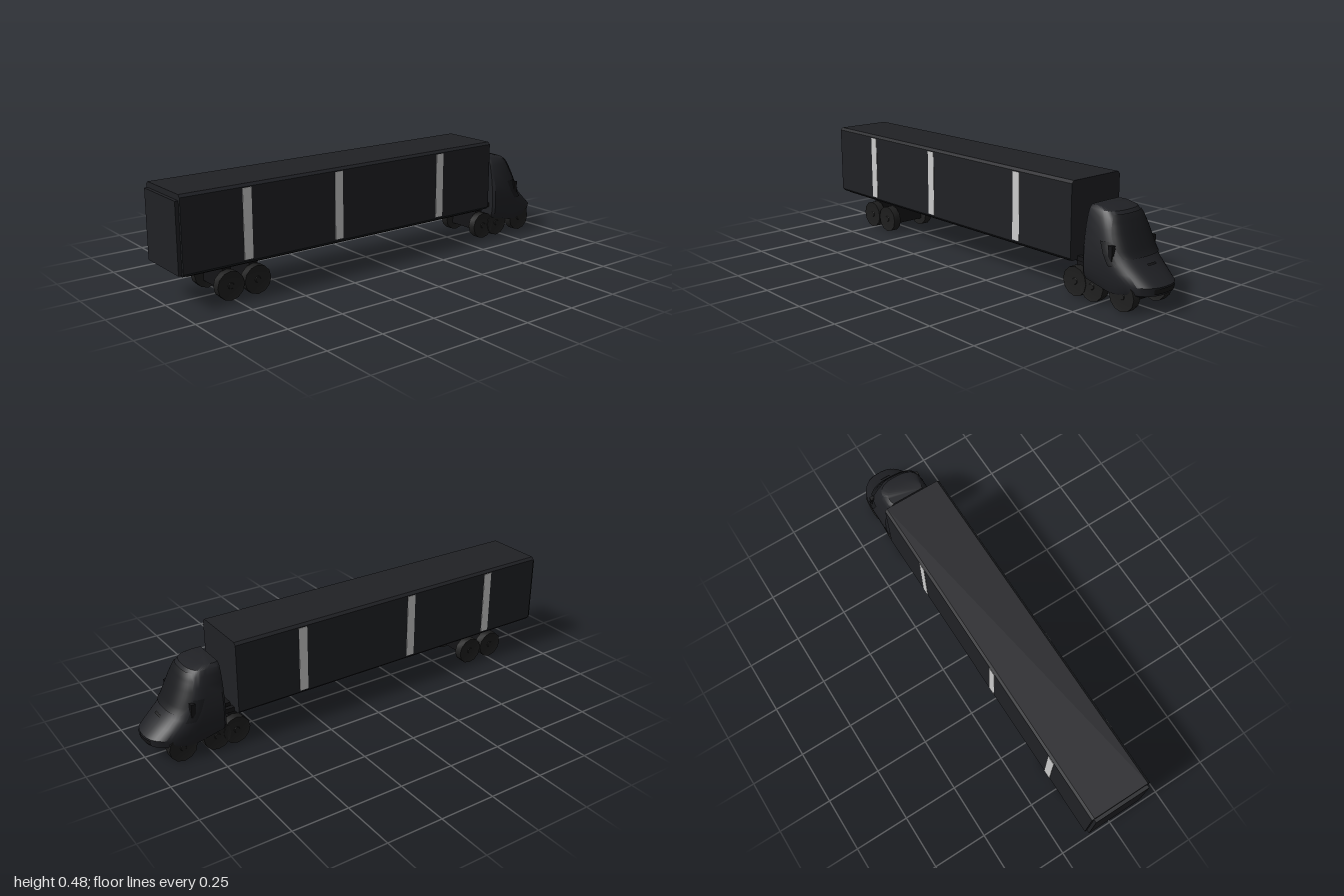
import * as THREE from 'three';
import { toCreasedNormals } from 'three/addons/utils/BufferGeometryUtils.js';

const mat = (color, extra = {}) => new THREE.MeshStandardMaterial({ color, ...extra });
const BODY = mat(0x202125);
const DARK = mat(0x141416);
const TYRE = mat(0x1e1e1e);
const GLASS = mat(0x18191c, { side: THREE.DoubleSide });
const TRIM = mat(0x141416, { side: THREE.DoubleSide });
const STRAP = mat(0xcccccc);

function add(parent, name, geometry, material, x = 0, y = 0, z = 0) {
  const mesh = new THREE.Mesh(geometry, material);
  mesh.name = name;
  mesh.position.set(x, y, z);
  parent.add(mesh);
}

// Box given by its minimum and maximum corners
function box(parent, name, material, [x0, y0, z0], [x1, y1, z1]) {
  add(parent, name, new THREE.BoxGeometry(x1 - x0, y1 - y0, z1 - z0), material,
    (x0 + x1) / 2, (y0 + y1) / 2, (z0 + z1) / 2);
}

// Cab cross-sections: height, nose z, half width
const BACK = -0.68;
const LEVELS = [
  [0.065, -0.955, 0.118], [0.078, -0.995, 0.121], [0.112, -1.0, 0.128], [0.15, -0.955, 0.132],
  [0.185, -0.915, 0.132], [0.22, -0.888, 0.13], [0.265, -0.866, 0.124], [0.31, -0.844, 0.116],
  [0.35, -0.822, 0.106], [0.374, -0.802, 0.096], [0.386, -0.755, 0.08],
];

// Point on the rounded front of the cab: a = 0 at the left side, PI at the right side
function cabPoint(a, y, offset = 0) {
  let i = 0;
  while (i < LEVELS.length - 2 && y > LEVELS[i + 1][0]) i++;
  const [y0, n0, w0] = LEVELS[i], [y1, n1, w1] = LEVELS[i + 1];
  const t = (y - y0) / (y1 - y0);
  const nose = n0 + (n1 - n0) * t, width = w0 + (w1 - w0) * t;
  const start = BACK + (nose - BACK) * 0.45;
  const c = Math.cos(a), s = Math.max(0, Math.sin(a));
  return [
    Math.sign(c) * Math.abs(c) ** 0.8 * width + c * offset,
    y + s * offset * 0.5,
    start + (nose - start) * s ** 0.8 - s * offset,
  ];
}

// Skin over rows of points, optionally closed with flat ends
function gridGeometry(rows, cap) {
  const n = rows[0].length, index = [];
  for (let r = 0; r < rows.length - 1; r++) {
    for (let c = 0; c < n - 1; c++) {
      const p = r * n + c, q = p + n;
      index.push(p, p + 1, q, p + 1, q + 1, q);
    }
  }
  if (cap) {
    const top = (rows.length - 1) * n;
    for (let c = 1; c < n - 2; c++) index.push(0, c + 1, c, top, top + c, top + c + 1);
  }
  const g = new THREE.BufferGeometry();
  g.setAttribute('position', new THREE.Float32BufferAttribute(rows.flat(2), 3));
  g.setIndex(index);
  return toCreasedNormals(g, 0.6);
}

// Panel lying just off the cab skin; spread(t) gives its angle limits at height t
function cabPanel(parent, name, material, yLow, yHigh, spread) {
  const rows = [];
  for (let r = 0; r <= 12; r++) {
    const t = r / 12, [a0, a1] = spread(t), row = [];
    for (let c = 0; c <= 16; c++) {
      row.push(cabPoint(a0 + (a1 - a0) * c / 16, yLow + (yHigh - yLow) * t, 0.004));
    }
    rows.push(row);
  }
  add(parent, name, gridGeometry(rows, false), material);
}

function buildCab() {
  const cab = new THREE.Group();
  cab.name = 'cab';
  // Shell: closed rings stacked from the sill to the roof
  const rows = LEVELS.map(([y, , w], level) => {
    const ring = [[w * 0.93, y, BACK], [w, y, BACK - 0.012]];
    for (let i = 0; i <= 24; i++) ring.push(cabPoint(Math.PI * i / 24, y));
    ring.push([-w, y, BACK - 0.012], [-w * 0.93, y, BACK], [w * 0.93, y, BACK]);
    // The sill rises towards the back, over the drive wheels
    const rise = [0.03, 0.022][level] ?? 0;
    return ring.map(([px, py, pz]) => [px, py + rise * Math.max(0, (pz + 0.81) / 0.13), pz]);
  });
  add(cab, 'cabShell', gridGeometry(rows, true), BODY);

  const mid = Math.PI / 2;
  cabPanel(cab, 'windscreen', GLASS, 0.205, 0.362, t => {
    const s = 0.72 + 0.35 * Math.sin(Math.PI * Math.min(1, t * 0.8 + 0.1));
    return [mid - s, mid + s];
  });
  cabPanel(cab, 'grille', TRIM, 0.084, 0.106, () => [mid - 0.4, mid + 0.4]);
  cabPanel(cab, 'hoodVent', TRIM, 0.176, 0.183, () => [mid - 0.12, mid + 0.12]);
  for (const side of [1, -1]) {
    const flip = a => (side > 0 ? a : Math.PI - a);
    cabPanel(cab, 'sideWindow', GLASS, 0.175, 0.265, t => [flip(0.04 + 0.1 * (1 - t)), flip(0.45)]);
    box(cab, 'mirror', DARK, [side * 0.12 - 0.011, 0.195, -0.835], [side * 0.12 + 0.011, 0.255, -0.815]);
  }
  return cab;
}

// Square-shouldered wheel with a low hub, turned about the x axis
const wheelProfile = [[0, -0.0185], [0.012, -0.0185], [0.014, -0.016], [0.05, -0.0165], [0.062, -0.0185],
  [0.062, 0.0185], [0.05, 0.0165], [0.014, 0.016], [0.012, 0.0185], [0, 0.0185]];
const wheelGeometry = toCreasedNormals(
  new THREE.LatheGeometry(wheelProfile.map(p => new THREE.Vector2(...p)), 12).rotateZ(Math.PI / 2), 0.6);

function buildAxle(name, z, top) {
  const axle = new THREE.Group();
  axle.name = name;
  for (const side of [1, -1]) add(axle, 'wheel', wheelGeometry, TYRE, side * 0.0965, 0.062, z);
  box(axle, 'axleBeam', DARK, [-0.08, 0.035, z - 0.02], [0.08, top, z + 0.02]);
  return axle;
}

function buildTrailer() {
  const trailer = new THREE.Group();
  trailer.name = 'trailer';
  // Body with bevelled long edges
  const w = 0.141, b = 0.011, y0 = 0.15, y1 = 0.477;
  const outline = new THREE.Shape([
    [-w + b, y0], [w - b, y0], [w, y0 + b], [w, y1 - b],
    [w - b, y1], [-w + b, y1], [-w, y1 - b], [-w, y0 + b],
  ].map(p => new THREE.Vector2(...p)));
  add(trailer, 'trailerBody', new THREE.ExtrudeGeometry(outline, { depth: 1.615, bevelEnabled: false }),
    BODY, 0, 0, -0.63);
  box(trailer, 'rearDoor', BODY, [-0.13, 0.156, 0.98], [0.13, 0.453, 1.0]);
  // Pale vertical bands on both walls
  for (const z of [0.695, 0.25, -0.315]) {
    for (const side of [1, -1]) {
      box(trailer, 'sideBand', STRAP, [side * 0.141 - 0.002, 0.168, z - 0.02], [side * 0.141 + 0.002, 0.462, z + 0.02]);
    }
  }
  // Underframe
  box(trailer, 'underframe', DARK, [-0.12, 0.144, -0.61], [0.12, 0.151, 0.96]);
  for (const side of [1, -1]) {
    box(trailer, 'frameRail', DARK, [side * 0.055 - 0.01, 0.139, -0.6], [side * 0.055 + 0.01, 0.15, 0.96]);
  }
  trailer.add(buildAxle('trailerRearAxle', 0.765, 0.145), buildAxle('trailerFrontAxle', 0.64, 0.145));
  return trailer;
}

function buildTractorChassis() {
  const chassis = new THREE.Group();
  chassis.name = 'tractorChassis';
  box(chassis, 'couplingBlock', DARK, [-0.065, 0.14, -0.74], [0.065, 0.172, -0.59]);
  for (const side of [1, -1]) {
    box(chassis, 'chassisRail', DARK, [side * 0.09 - 0.01, 0.145, -0.74], [side * 0.09 + 0.01, 0.165, -0.58]);
  }
  chassis.add(buildAxle('driveRearAxle', -0.63, 0.15), buildAxle('driveFrontAxle', -0.72, 0.15),
    buildAxle('steerAxle', -0.875, 0.08));
  return chassis;
}

export function createModel() {
  const truck = new THREE.Group();
  truck.name = 'articulatedTruck';
  truck.add(buildTrailer(), buildTractorChassis(), buildCab());
  return truck;
}
